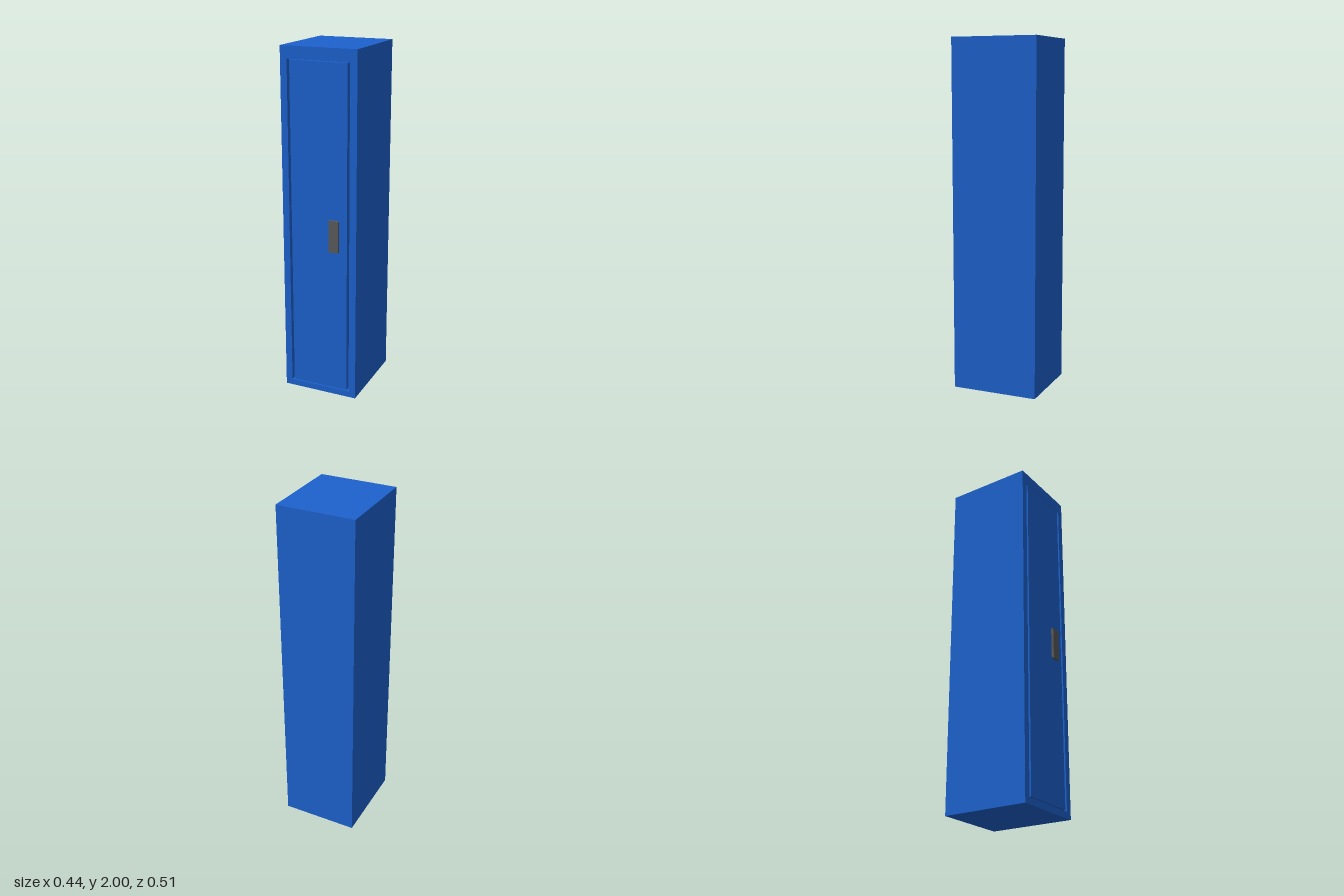
import * as THREE from 'three';

const blue = new THREE.MeshStandardMaterial({ color: 0x1d62cd });
const grey = new THREE.MeshStandardMaterial({ color: 0x5a5a5a });

// Box given by its minimum and maximum corners
function box(name, min, max, material) {
  const size = max.map((v, i) => v - min[i]);
  const mesh = new THREE.Mesh(new THREE.BoxGeometry(...size), material);
  mesh.position.set(...max.map((v, i) => (v + min[i]) / 2));
  mesh.name = name;
  return mesh;
}

// Counter-clockwise rectangle corners
function corners(x, y0, y1) {
  return [[-x, y0], [x, y0], [x, y1], [-x, y1]].map(([a, b]) => new THREE.Vector2(a, b));
}

export function createModel() {
  const group = new THREE.Group();
  group.name = 'locker';
  const back = -0.257, front = 0.243, wall = 0.04;

  // Hollow case: walls, floor and top in one frame
  const outline = new THREE.Shape(corners(0.222, 0, 2));
  outline.holes.push(new THREE.Path(corners(0.183, 0.036, 1.931).reverse()));
  const frame = new THREE.Mesh(
    new THREE.ExtrudeGeometry(outline, { depth: front - back - wall, bevelEnabled: false }), blue);
  frame.position.z = back + wall;
  frame.name = 'case';
  group.add(frame);

  // Back wall closing the case
  group.add(box('backPanel', [-0.222, 0, back], [0.222, 2, back + wall], blue));

  // Inside shelf, seen through the door gaps
  group.add(box('shelf', [-0.183, 1.58, back + wall], [0.183, 1.667, 0.2], blue));

  // Door set into the opening, with its handle plate
  group.add(box('door', [-0.168, 0.042, 0.21], [0.167, 1.928, front], blue));
  group.add(box('handle', [0.064, 0.887, front], [0.121, 1.07, 0.257], grey));

  return group;
}
